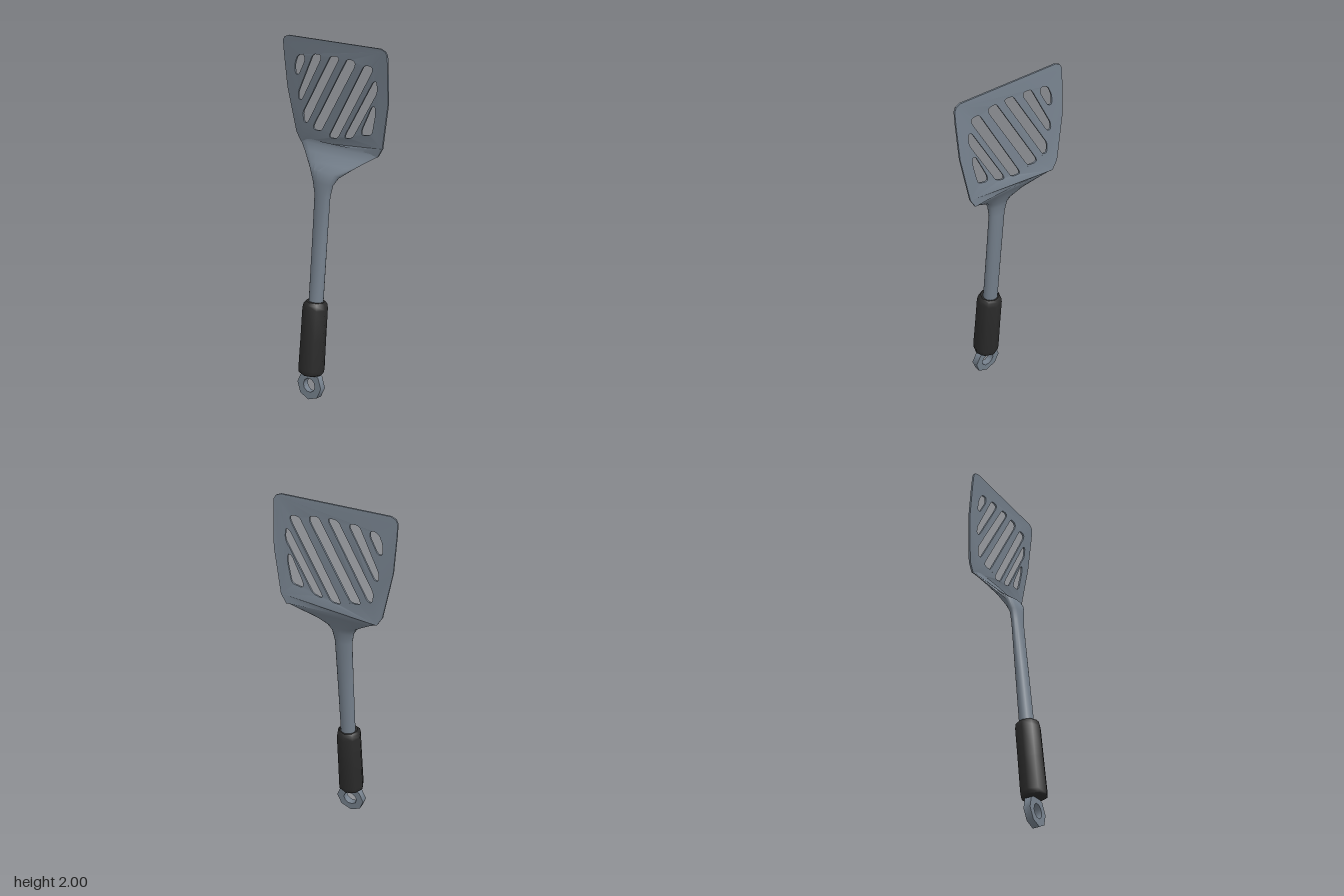
import * as THREE from 'three';
import { toCreasedNormals } from 'three/addons/utils/BufferGeometryUtils.js';

const TILT = -0.093; // lean of the handle

// Closed path through points with softly rounded corners
function roundedPath(points, radius) {
  const path = new THREE.Path();
  const pts = points.map(([x, y]) => new THREE.Vector2(x, y));
  pts.forEach((p, i) => {
    const toward = (q) => {
      const d = q.clone().sub(p);
      return p.clone().addScaledVector(d, Math.min(radius / d.length(), 0.45));
    };
    const a = toward(pts[(i + pts.length - 1) % pts.length]);
    const b = toward(pts[(i + 1) % pts.length]);
    if (i === 0) path.moveTo(a.x, a.y);
    else path.lineTo(a.x, a.y);
    path.quadraticCurveTo(p.x, p.y, b.x, b.y);
  });
  path.closePath();
  return path;
}

// Skin a row of flattened oval sections: [y, z, half width, half thickness, normal pitch, boxiness, bow]
function loft(sections, sides) {
  const pos = [], index = [];
  const pow = (v, e) => Math.sign(v) * Math.abs(v) ** e;
  sections.forEach(([y, z, w, t, pitch, e, bow]) => {
    for (let j = 0; j < sides; j++) {
      const a = (j / sides) * Math.PI * 2;
      const x = w * Math.cos(a), n = t * pow(Math.sin(a), e);
      pos.push(x, y + n * Math.sin(pitch), z + n * Math.cos(pitch) - bow * x * x);
    }
  });
  for (let i = 0; i < sections.length - 1; i++) {
    for (let j = 0; j < sides; j++) {
      const a = i * sides + j, b = i * sides + ((j + 1) % sides);
      index.push(a, a + sides, b, b, a + sides, b + sides);
    }
  }
  const geo = new THREE.BufferGeometry();
  geo.setAttribute('position', new THREE.Float32BufferAttribute(pos, 3));
  geo.setIndex(index);
  return toCreasedNormals(geo, 0.9);
}

function bladeGeometry() {
  const half = [
    [0.13, 1.41], [0.265, 1.41], [0.296, 1.46], [0.342, 1.71], [0.349, 1.9],
    [0.349, 1.968], [0.338, 1.988], [0.31, 2],
  ];
  const mirrored = half.map(([x, y]) => [-x, y]).reverse();
  const outline = [[0, 1.41], ...half, ...mirrored];
  const shape = new THREE.Shape(outline.map(([x, y]) => new THREE.Vector2(x, y)));

  // Diagonal slots, cut off by the margin of the blade
  const slots = [
    [[-0.275, 1.79], [-0.25, 1.79], [-0.2, 1.875], [-0.205, 1.91], [-0.25, 1.898], [-0.275, 1.845]],
    [[-0.262, 1.65], [-0.238, 1.65], [-0.085, 1.9], [-0.09, 1.92], [-0.14, 1.918], [-0.262, 1.69]],
    [[-0.232, 1.525], [-0.205, 1.525], [0.035, 1.91], [0.03, 1.925], [-0.02, 1.922], [-0.236, 1.58]],
    [[-0.16, 1.495], [-0.105, 1.495], [0.142, 1.89], [0.14, 1.915], [0.09, 1.92], [-0.162, 1.515]],
    [[-0.045, 1.468], [0.008, 1.473], [0.253, 1.875], [0.25, 1.9], [0.2, 1.9], [-0.047, 1.485]],
    [[0.06, 1.48], [0.112, 1.495], [0.278, 1.765], [0.277, 1.825], [0.255, 1.82], [0.06, 1.5]],
    [[0.17, 1.515], [0.235, 1.53], [0.262, 1.645], [0.262, 1.688], [0.24, 1.685], [0.17, 1.545]],
  ];
  shape.holes = slots.map((s) => roundedPath(s, 0.02));

  const geo = new THREE.ExtrudeGeometry(shape, { depth: 0.01, bevelEnabled: false, curveSegments: 4 });
  // Lean the sheet forward towards its tip and bow its lower edge
  const p = geo.attributes.position;
  for (let i = 0; i < p.count; i++) {
    const x = p.getX(i), k = (2 - p.getY(i)) / 0.59;
    p.setZ(i, p.getZ(i) - 0.11 - 0.034 * k - 0.2 * x * x * k);
  }
  return toCreasedNormals(geo, 0.6);
}

export function createModel() {
  const model = new THREE.Group();
  const steel = new THREE.MeshStandardMaterial({ color: 0x75808c });
  steel.name = 'grey steel';
  const rubber = new THREE.MeshStandardMaterial({ color: 0x2b2b2b });
  rubber.name = 'black rubber';
  const add = (name, geo, mat) => {
    const mesh = new THREE.Mesh(geo, mat);
    mesh.name = name;
    model.add(mesh);
    return mesh;
  };

  add('blade', bladeGeometry(), steel);

  // Shaft flaring into the bent neck
  add('shaftAndNeck', loft([
    [0.55, 0.043, 0.042, 0.04, 0.09, 1, 0],
    [0.9, 0.011, 0.046, 0.034, 0.09, 1, 0],
    [1.18, -0.014, 0.051, 0.028, 0.09, 1, 0],
    [1.245, -0.019, 0.066, 0.027, 0.25, 0.9, 0],
    [1.293, -0.032, 0.095, 0.034, 0.65, 0.9, 0],
    [1.332, -0.07, 0.15, 0.016, 0.72, 0.7, 0.1],
    [1.375, -0.107, 0.21, 0.009, 0.72, 0.5, 0.2],
    [1.412, -0.138, 0.266, 0.006, 0.4, 0.4, 0.2],
    [1.435, -0.138, 0.275, 0.004, 0, 0.4, 0.2],
  ], 20), steel);

  // Eight-sided grip with softened ends
  const profile = [
    [0, -0.214], [0.06, -0.214], [0.072, -0.205], [0.074, -0.18], [0.072, 0],
    [0.071, 0.175], [0.066, 0.2], [0.054, 0.214], [0, 0.214],
  ].map(([r, y]) => new THREE.Vector2(r, y));
  const grip = add('grip', toCreasedNormals(new THREE.LatheGeometry(profile, 8), 0.9), rubber);
  grip.position.set(0, 0.37, 0.065);
  grip.rotation.x = TILT;

  // Octagonal hanging loop
  const octagon = Array.from({ length: 8 }, (_, i) => {
    const a = (i / 8) * Math.PI * 2;
    return new THREE.Vector2(0.085 * Math.cos(a), 0.085 * Math.sin(a));
  });
  const ring = new THREE.Shape(octagon);
  ring.holes.push(new THREE.Path().absarc(0, 0, 0.041, 0, Math.PI * 2, true));
  const ringGeo = new THREE.ExtrudeGeometry(ring, { depth: 0.038, bevelEnabled: false, curveSegments: 5 });
  ringGeo.translate(0, 0, -0.019);
  const loop = add('hangingLoop', toCreasedNormals(ringGeo, 0.9), steel);
  loop.position.set(0, 0.087, 0.085);
  loop.rotation.x = TILT;

  return model;
}
